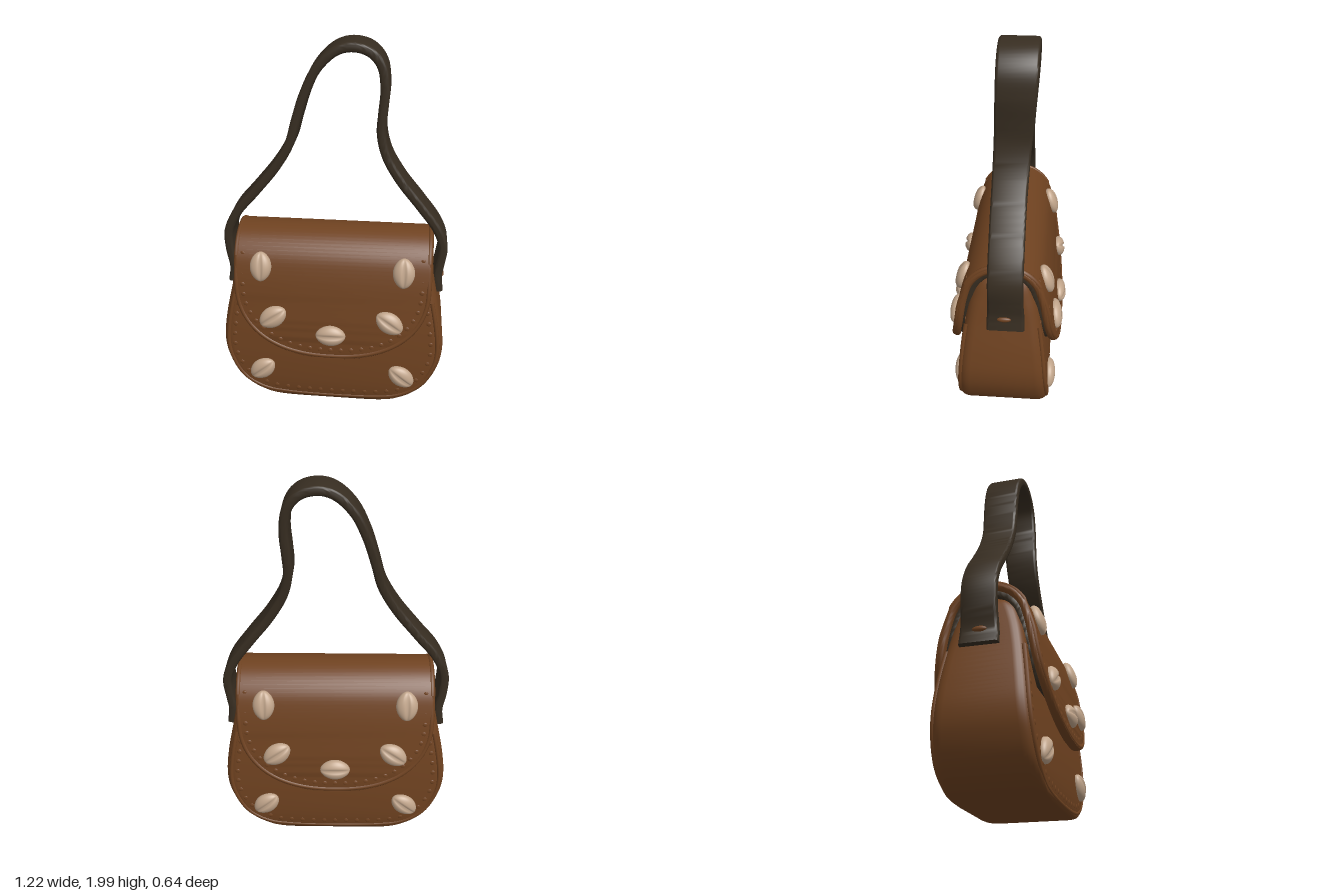
import * as THREE from 'three';
import { mergeGeometries, toCreasedNormals } from 'three/addons/utils/BufferGeometryUtils.js';

const V = (x, y, z) => new THREE.Vector3(x, y, z);
const X = V(1, 0, 0), Y = V(0, 1, 0), Z = V(0, 0, 1);

const leather = new THREE.MeshStandardMaterial({ name: 'brown leather', color: 0x6f4220 });
const dark = new THREE.MeshStandardMaterial({ name: 'dark strap leather', color: 0x372d21 });
const cream = new THREE.MeshStandardMaterial({ name: 'cream shell', color: 0xc0a48a });

function mesh(name, geo, mat, parent) {
  const m = new THREE.Mesh(geo, mat);
  m.name = name;
  parent.add(m);
  return m;
}

// Outline of a rounded rectangle with half sizes a and b
function roundRect(a, b, r) {
  r = Math.min(r, a, b);
  const pts = [];
  for (let q = 0; q < 4; q++) {
    const sx = q === 0 || q === 3 ? 1 : -1, sy = q < 2 ? 1 : -1;
    for (let k = 0; k <= 5; k++) {
      const t = (q + k / 5) * Math.PI / 2;
      pts.push([sx * (a - r) + r * Math.cos(t), sy * (b - r) + r * Math.sin(t)]);
    }
  }
  return pts;
}

// Loft rounded rectangles along stations { p, t, a, b }, side is the b direction
function loft(stations, side, r) {
  const pos = [], idx = [], n = 24, last = stations.length - 1;
  for (const s of stations) {
    const e = s.t.clone().cross(side).normalize();
    for (const [u, v] of roundRect(s.a, s.b, r)) {
      pos.push(...s.p.clone().addScaledVector(e, u).addScaledVector(side, v).toArray());
    }
  }
  const c0 = pos.length / 3;
  pos.push(...stations[0].p.toArray(), ...stations[last].p.toArray());
  for (let j = 0; j < n; j++) {
    const k = (j + 1) % n;
    for (let i = 0; i < last; i++) {
      const a = i * n + j, b = i * n + k, d = a + n, c = b + n;
      idx.push(a, d, b, b, d, c);
    }
    idx.push(c0, j, k, c0 + 1, last * n + k, last * n + j);
  }
  const g = new THREE.BufferGeometry();
  g.setAttribute('position', new THREE.Float32BufferAttribute(pos, 3));
  g.setIndex(idx);
  return toCreasedNormals(g, 0.9);
}

// Body profile: half width, height, half depth
const profile = new THREE.CatmullRomCurve3([
  [0.08, 0.008, 0.21], [0.25, 0.015, 0.228], [0.4, 0.04, 0.238], [0.52, 0.12, 0.24], [0.59, 0.25, 0.235],
  [0.61, 0.36, 0.227], [0.597, 0.5, 0.214], [0.56, 0.68, 0.19], [0.535, 0.8, 0.165],
  [0.51, 0.9, 0.125], [0.47, 0.95, 0.05],
].map(p => V(...p))).getPoints(70);

// Flap arch from the front hem over the top to the back hem
const half = [[0.335, 0.282], [0.45, 0.262], [0.6, 0.235], [0.8, 0.2], [0.9, 0.165], [0.965, 0.1]];
const arch = new THREE.CatmullRomCurve3([
  ...half.map(([y, z]) => V(0, y, z)), V(0, 0.993, 0), ...half.map(([y, z]) => V(0, y, -z)).reverse(),
]);
const POW = 2.3;
function flapWidth(y) {
  const k = Math.min(1, Math.max(0, (0.75 - y) / 0.418));
  return Math.max(0.02, 0.53 * Math.pow(1 - Math.pow(k, POW), 1 / POW));
}
// Arch point moved inwards by a distance, with its direction
function archPoint(t, inward) {
  const tan = arch.getTangent(t);
  return { p: arch.getPoint(t).addScaledVector(tan.clone().cross(X), inward), t: tan };
}
function archStations(thick, inward, width, from) {
  const out = [], n = 90;
  for (let i = 0; i <= n; i++) {
    const s = archPoint(from + (1 - 2 * from) * (1 - Math.cos(Math.PI * i / n)) / 2, inward);
    out.push({ ...s, a: thick, b: width(s.p.y) });
  }
  return out;
}

// Depth of the front surface at a given height
function depthAt(list, y) {
  for (let i = 1; i < list.length; i++) {
    const p = list[i - 1], q = list[i];
    if (y <= q.y) return THREE.MathUtils.lerp(p.z, q.z, Math.max(0, (y - p.y) / (q.y - p.y)));
  }
  return list[list.length - 1].z;
}
const flapFront = arch.getPoints(120).slice(0, 58);
const flapZ = y => depthAt(flapFront, y) + 0.02;
const bodyZ = y => depthAt(profile, y);

// Lines that follow the flap hem and the body outline at an inset, sunk into the leather
function hemLine(inset, sink) {
  const pts = [V(0.53 - inset, 0.9, flapZ(0.9) - sink)];
  for (let i = 0; i <= 24; i++) {
    const t = Math.PI * i / 24, c = Math.cos(t), s = Math.sin(t);
    const x = Math.sign(c) * Math.pow(Math.abs(c), 2 / POW) * (0.53 - inset);
    const y = 0.75 - Math.pow(Math.abs(s), 2 / POW) * (0.415 - inset);
    pts.push(V(x, y, flapZ(y) - sink));
  }
  pts.push(V(inset - 0.53, 0.9, flapZ(0.9) - sink));
  return new THREE.CatmullRomCurve3(pts);
}
function outlineLine(inset, sink) {
  const right = profile.filter((p, i) => p.y < 0.7 && i % 3 === 0).map(p => {
    const y = 0.36 + (p.y - 0.36) * (p.y < 0.36 ? 1 - inset / 0.35 : 1);
    return V(p.x * (1 - inset / 0.6), y, bodyZ(y) - sink);
  });
  const left = right.map(p => V(-p.x, p.y, p.z));
  return new THREE.CatmullRomCurve3([...right.reverse(), ...left]);
}
function stitches(line, count) {
  return mergeGeometries(line.getSpacedPoints(count).map(p =>
    new THREE.SphereGeometry(0.015, 10, 8).scale(1, 1, 0.4).translate(p.x, p.y, p.z)));
}

// Shell: pointed oval dome with a slit along its length
function shellGeometry() {
  const g = new THREE.SphereGeometry(1, 32, 24).rotateZ(Math.PI / 2);
  const p = g.attributes.position;
  for (let i = 0; i < p.count; i++) {
    const x = p.getX(i), y = p.getY(i), z = p.getZ(i);
    const slit = z > 0 ? 0.4 * Math.exp(-((y / 0.13) ** 2)) * (1 - x * x) : 0;
    p.setXYZ(i, x * 0.081, y * 0.058 * (1 - 0.12 * x * x), (z - slit) * 0.036);
  }
  g.computeVertexNormals();
  return g;
}

// Seams, stitches and shells of one face
function buildFace() {
  const face = new THREE.Group();
  mesh('flapHem', new THREE.TubeGeometry(hemLine(0.016, 0.008), 90, 0.013, 8), leather, face);
  mesh('flapStitches', stitches(hemLine(0.05, 0.003), 30), leather, face);
  mesh('bodyWelt', new THREE.TubeGeometry(outlineLine(0.03, 0.008), 100, 0.012, 8), leather, face);
  mesh('bodyStitches', stitches(outlineLine(0.065, 0.003), 32), leather, face);
  const geo = shellGeometry();
  // x, y, z, spin, tilt
  const spots = [[0.38, 0.845, flapZ(0.845), Math.PI / 2, -0.3], [0.315, 0.565, flapZ(0.565), -0.6, -0.17],
    [0.39, 0.2, bodyZ(0.2), -0.7, 0], [0, 0.475, flapZ(0.475), 0, -0.16]];
  for (const [x, y, z, spin, tilt] of spots) {
    for (const s of x ? [1, -1] : [1]) {
      const m = mesh('shell', geo, cream, face);
      m.position.set(s * x, y, z + 0.006);
      m.rotation.set(tilt, 0, s * spin);
    }
  }
  return face;
}

export function createModel() {
  const bag = new THREE.Group();
  bag.name = 'shoulderBag';

  // Body, flap and the dark lining in the gap under the flap
  mesh('body', loft(profile.map(p => ({ p: V(0, p.y, 0), t: Y, a: p.x, b: p.z })), Z, 0.06), leather, bag);
  mesh('flap', loft(archStations(0.02, 0, flapWidth, 0), X, 0.02), leather, bag);
  mesh('lining', loft(archStations(0.018, 0.032, y => Math.min(0.505, flapWidth(y) * 0.95), 0.11), X, 0.01), dark, bag);

  // Ridges that carry the hem over the top at both ends of the flap
  const ridge = [];
  for (let t = 0; t <= 1; t += 0.01) {
    const { p } = archPoint(t, -0.012);
    if (p.y > 0.88) ridge.push(p);
  }
  for (const s of [1, -1]) {
    const curve = new THREE.CatmullRomCurve3(ridge.map(p => V(s * 0.514, p.y, p.z)));
    mesh('flapRidge', new THREE.TubeGeometry(curve, 40, 0.013, 8), leather, bag);
  }

  // Front and back faces
  const front = buildFace(), back = buildFace();
  front.name = 'frontFace';
  back.name = 'backFace';
  back.rotation.y = Math.PI;
  bag.add(front, back);

  // Strap
  const path = new THREE.CatmullRomCurve3([
    [-0.572, 0.665], [-0.562, 0.75], [-0.58, 0.86], [-0.58, 0.97], [-0.53, 1.08], [-0.43, 1.2], [-0.31, 1.35],
    [-0.235, 1.48], [-0.2, 1.6], [-0.155, 1.74], [-0.09, 1.87], [0, 1.955], [0.08, 1.977], [0.17, 1.955],
    [0.228, 1.89], [0.248, 1.78], [0.24, 1.65], [0.236, 1.55], [0.265, 1.43], [0.34, 1.3],
    [0.45, 1.16], [0.545, 1.03], [0.582, 0.93], [0.572, 0.82], [0.562, 0.75], [0.572, 0.665],
  ].map(([x, y]) => V(x, y, 0)));
  const strap = [];
  for (let i = 0; i <= 160; i++) {
    const p = path.getPointAt(i / 160), t = path.getTangentAt(i / 160);
    const lift = THREE.MathUtils.smoothstep(p.y, 1.2, 2);
    p.z = -0.018 - 0.03 * lift;
    const flare = 1 - THREE.MathUtils.smoothstep(p.y, 0.66, 0.85);
    strap.push({ p, t, a: 0.024, b: 0.088 + 0.012 * lift + 0.008 * flare });
  }
  mesh('strap', loft(strap, Z, 0.016), dark, bag);

  // Brown ties holding the strap ends
  for (const s of [1, -1]) {
    const tie = mesh('strapTie', new THREE.SphereGeometry(1, 16, 10), leather, bag);
    tie.scale.set(0.012, 0.014, 0.036);
    tie.position.set(s * 0.588, 0.735, -0.012);
  }
  return bag;
}
